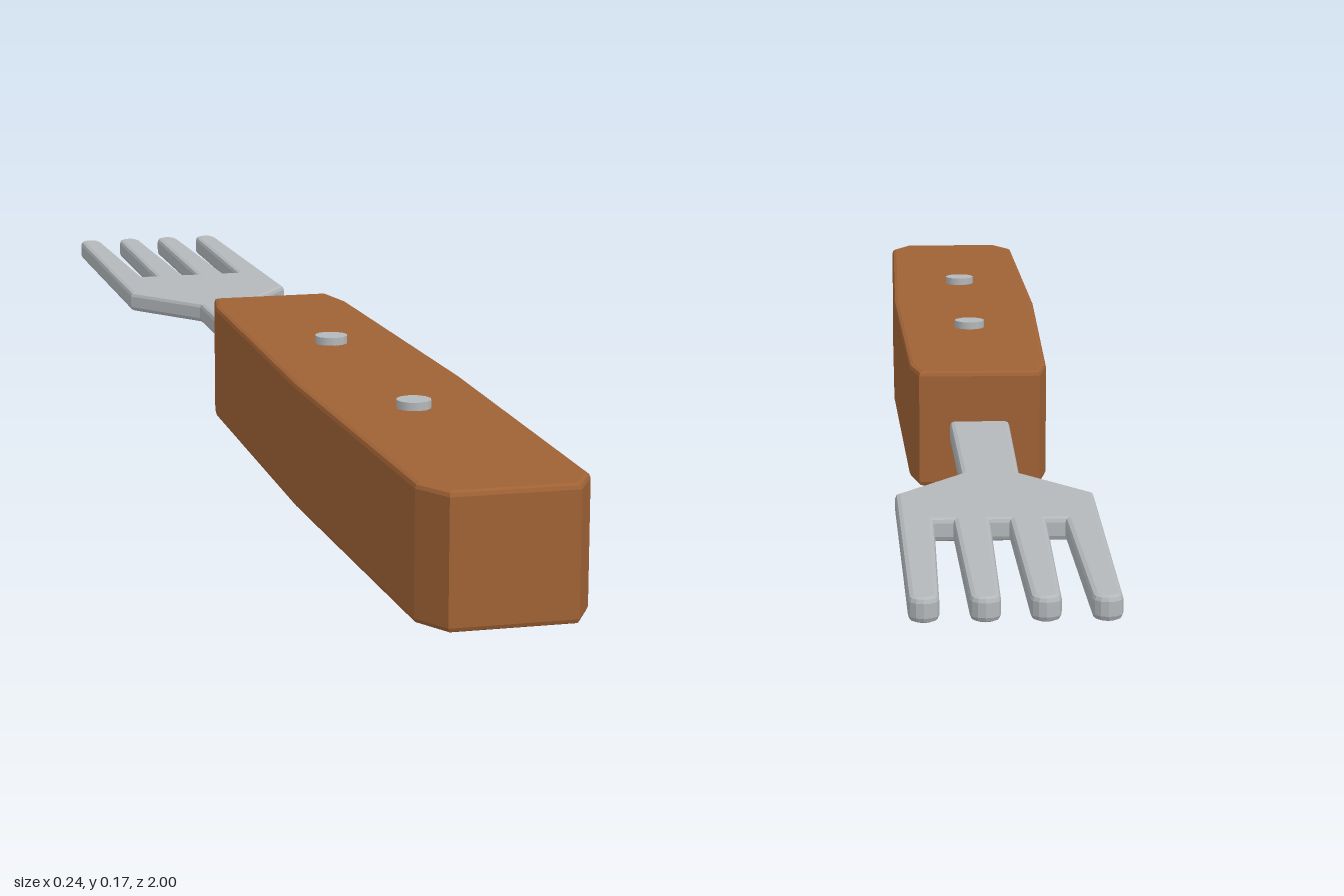
import * as THREE from 'three';

const wood = new THREE.MeshStandardMaterial({ color: 0xa06235 });
wood.name = 'wood';
const steel = new THREE.MeshStandardMaterial({ color: 0xb4b8bb });
steel.name = 'steel';

// Extrudes an outline of [x, z] points upward from y0 to y1 with bevelled rims
function slab(name, outline, y0, y1, bevel, segments, material) {
  const shape = new THREE.Shape(outline.map(([x, z]) => new THREE.Vector2(x, -z)));
  const geometry = new THREE.ExtrudeGeometry(shape, {
    depth: y1 - y0 - 2 * bevel,
    bevelEnabled: true,
    bevelThickness: bevel,
    bevelSize: bevel,
    bevelOffset: -bevel,
    bevelSegments: segments,
  });
  geometry.rotateX(-Math.PI / 2);
  geometry.translate(0, y0 + bevel, 0);
  const mesh = new THREE.Mesh(geometry, material);
  mesh.name = name;
  return mesh;
}

// Completes a right-hand half outline with its mirror image
function mirrored(half) {
  return [...half, ...half.map(([x, z]) => [-x, z]).reverse()];
}

// Neck, shoulders and four round-tipped tines in one outline
function forkOutline() {
  const tip = 0.0165;
  const half = [];
  const addTine = (center) => {
    for (let i = 0; i <= 6; i++) {
      const a = (i / 6) * Math.PI;
      half.push([center + tip * Math.cos(a), -1 + tip - tip * Math.sin(a)]);
    }
  };
  half.push([0.041, 0.02], [0.036, -0.41], [0.119, -0.52]);
  addTine(0.097);
  half.push([0.076, -0.65], [0.054, -0.65]);
  addTine(0.032);
  half.push([0.011, -0.65]);
  return mirrored(half);
}

export function createModel() {
  const model = new THREE.Group();
  model.name = 'fork';

  // Tapered wooden handle with clipped corners
  const handleOutline = mirrored([
    [0.073, 1], [0.098, 0.955], [0.104, 0.45], [0.092, -0.05], [0.08, -0.11],
  ]);
  model.add(slab('handle', handleOutline, 0, 0.155, 0.006, 2, wood));

  // Flat steel head
  model.add(slab('forkHead', forkOutline(), 0.06, 0.088, 0.006, 2, steel));

  // Rivets standing proud of the handle top
  for (const z of [0.225, 0.61]) {
    const rivet = new THREE.Mesh(new THREE.CylinderGeometry(0.021, 0.021, 0.163, 12), steel);
    rivet.name = 'rivet';
    rivet.position.set(0, 0.0835, z);
    model.add(rivet);
  }
  return model;
}
